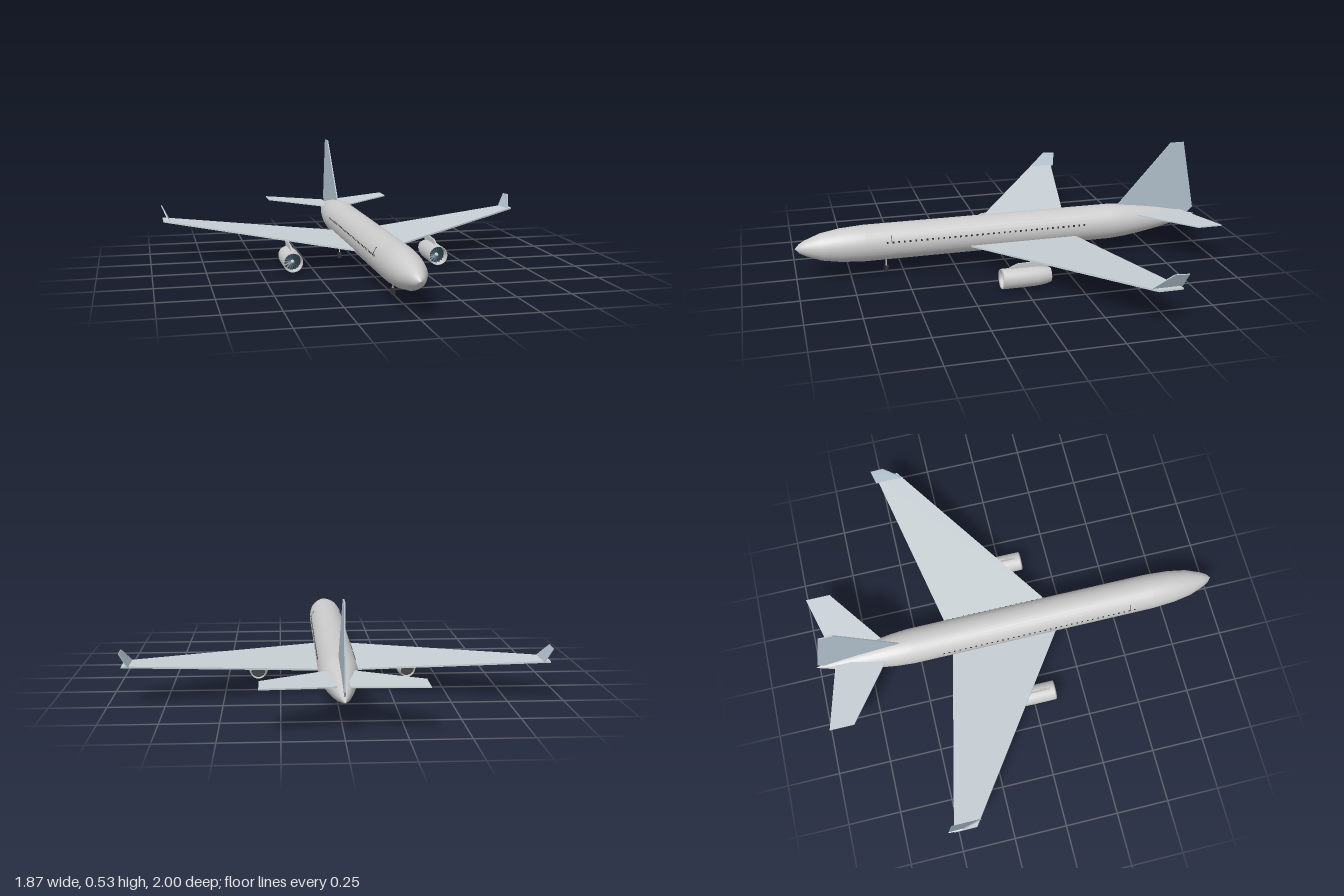
import * as THREE from 'three';

const mat = (color, side = THREE.FrontSide) => new THREE.MeshStandardMaterial({ color, side });
const grey = mat(0xcccccc);
const greyOpen = mat(0xcccccc, THREE.DoubleSide);
const wingMat = mat(0xc8d0d5);
const finMat = mat(0xb4c4d0);
const dark = mat(0x333333);
const fanMat = mat(0x3f5a6b, THREE.DoubleSide);
const AXIS_Y = 0.151;

// Flat slab: four outline corners given a thickness along their common normal.
function slab(corners, thickness) {
  const p = corners.map((c) => new THREE.Vector3(...c));
  const n = p[1].clone().sub(p[0]).cross(p[3].clone().sub(p[0])).normalize();
  const up = p.map((v) => v.clone().addScaledVector(n, thickness / 2));
  const low = p.map((v) => v.clone().addScaledVector(n, -thickness / 2));
  const pts = [];
  const quad = (a, b, c, d) => pts.push(a, b, c, a, c, d);
  quad(...up);
  quad(low[3], low[2], low[1], low[0]);
  for (let i = 0; i < 4; i++) {
    const j = (i + 1) % 4;
    quad(low[i], low[j], up[j], up[i]);
  }
  const g = new THREE.BufferGeometry().setFromPoints(pts);
  g.computeVertexNormals();
  return g;
}

// Lathe along z, from [radius, z] pairs running from back to front.
function latheZ(profile, segments) {
  const g = new THREE.LatheGeometry(profile.map(([r, z]) => new THREE.Vector2(r, z)), segments);
  return g.rotateX(Math.PI / 2);
}

function add(parent, name, geometry, material, x = 0, y = 0, z = 0) {
  const m = new THREE.Mesh(geometry, material);
  m.name = name;
  m.position.set(x, y, z);
  parent.add(m);
  return m;
}

function engine(name) {
  const g = new THREE.Group();
  g.name = name;
  // Open nacelle: outer skin, rounded lip, inner duct
  add(g, 'nacelle', latheZ([
    [0.034, -0.125], [0.041, -0.1], [0.046, -0.06], [0.047, 0], [0.047, 0.1],
    [0.045, 0.108], [0.042, 0.1], [0.041, 0.05], [0.038, -0.06], [0.032, -0.125],
  ], 24), greyOpen);
  // Fan with blades and spinner
  add(g, 'fanDisc', new THREE.CircleGeometry(0.041, 24), mat(0x26343d, THREE.DoubleSide), 0, 0, 0.06);
  for (let i = 0; i < 16; i++) {
    const blade = new THREE.PlaneGeometry(0.007, 0.034).rotateY(0.5).translate(0, 0.023, 0);
    add(g, 'fanBlade', blade.rotateZ((i / 16) * Math.PI * 2), fanMat, 0, 0, 0.072);
  }
  add(g, 'spinner', latheZ([[0.01, 0.065], [0.008, 0.082], [0, 0.095]], 16), grey);
  // Exhaust
  add(g, 'exhaustDisc', new THREE.CircleGeometry(0.036, 24), mat(0x444444, THREE.DoubleSide), 0, 0, -0.09);
  // Thin pylon
  add(g, 'pylon', slab([
    [0, 0.042, 0.09], [0, 0.068, 0.03], [0, 0.073, -0.13], [0, 0.034, -0.11],
  ], 0.007), grey);
  return g;
}

function landingGear(name) {
  const g = new THREE.Group();
  g.name = name;
  add(g, 'strut', new THREE.CylinderGeometry(0.003, 0.003, 0.055, 8), grey, 0, 0.05, 0);
  add(g, 'wheel', new THREE.BoxGeometry(0.018, 0.028, 0.018), dark, 0, 0.014, 0);
  return g;
}

export function createModel() {
  const plane = new THREE.Group();
  plane.name = 'airliner';

  // Fuselage
  add(plane, 'fuselage', latheZ([
    [0, -1], [0.018, -0.94], [0.034, -0.88], [0.053, -0.79], [0.068, -0.7], [0.08, -0.61],
    [0.086, -0.53], [0.086, 0.68], [0.079, 0.79], [0.064, 0.88], [0.038, 0.95],
    [0.022, 0.98], [0, 1],
  ], 32), grey, 0, AXIS_Y, 0);

  // Vertical fin
  add(plane, 'verticalFin', slab([
    [0, 0.225, -0.575], [0, 0.532, -0.85], [0, 0.532, -0.918], [0, 0.19, -0.985],
  ], 0.006), finMat);
  add(plane, 'finRoot', slab([
    [0, 0.225, -0.577], [0, 0.19, -0.985], [0, 0.165, -0.96], [0, 0.16, -0.6],
  ], 0.005), finMat);

  for (const [side, s] of [['left', 1], ['right', -1]]) {
    // Wing, winglet and tailplane
    add(plane, `${side}Wing`, slab([
      [s * 0.04, 0.111, 0.208], [s * 0.93, 0.182, -0.41],
      [s * 0.93, 0.182, -0.519], [s * 0.04, 0.111, -0.332],
    ], 0.008), wingMat);
    add(plane, `${side}Winglet`, slab([
      [s * 0.9, 0.18, -0.385], [s * 0.934, 0.25, -0.475],
      [s * 0.934, 0.246, -0.54], [s * 0.9, 0.18, -0.525],
    ], 0.005), finMat);
    add(plane, `${side}Tailplane`, slab([
      [s * 0.025, 0.188, -0.637], [s * 0.335, 0.205, -0.865],
      [s * 0.335, 0.205, -0.982], [s * 0.025, 0.188, -0.902],
    ], 0.006), wingMat);

    // Engine and main gear
    const e = engine(`${side}Engine`);
    e.position.set(s * 0.354, 0.052, 0);
    plane.add(e);
    const gear = landingGear(`${side}MainGear`);
    gear.position.set(s * 0.07, 0, -0.2);
    if (s) gear.children[0].scale.y = 1.3;
    plane.add(gear);

    // Cabin windows and door seam
    for (let i = 0; i < 37; i++) {
      add(plane, `${side}Window`, new THREE.BoxGeometry(0.004, 0.008, 0.008), dark,
        s * 0.0825, 0.172, 0.58 - i * 0.0267);
    }
    const door = add(plane, `${side}DoorSeam`, new THREE.BoxGeometry(0.003, 0.034, 0.003), dark,
      s * 0.076, 0.19, 0.56);
    door.rotation.z = s * 0.48;
  }

  // Nose gear
  const noseGear = landingGear('noseGear');
  noseGear.position.z = 0.58;
  plane.add(noseGear);

  return plane;
}
